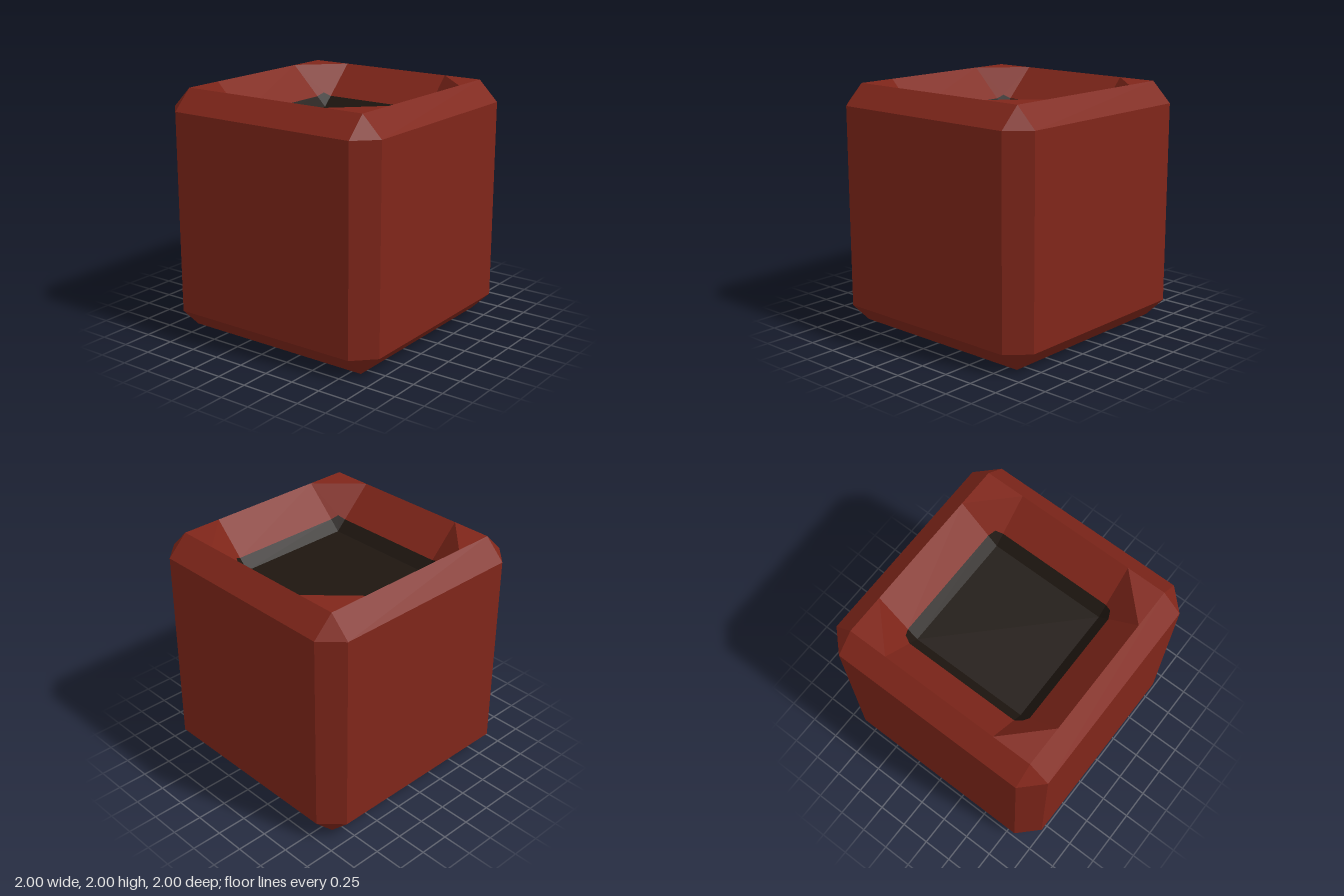
import * as THREE from 'three';

const E = 5 / 6;      // half-width of the flat faces
const B = 1 / 6;      // bevel size
const T = 2 - B;      // top of the side panels
const I = 0.5;        // half-width of the soil floor
const F = 5 / 3;      // height of the soil floor
const S = 0.583;      // soil edge on the inner slope
const SY = 1.75;
const M = 0.556;      // soil edge in the corner
const MY = 2 - (4 / 3 - 2 * M);

// Mesh of flat convex polygons, each split as a fan; repeated round the y axis
function facets(name, color, polygons, turns = 4) {
  const points = [];
  const up = new THREE.Vector3(0, 1, 0);
  for (let k = 0; k < turns; k++) {
    for (const polygon of polygons) {
      const v = polygon.map(p => new THREE.Vector3(...p).applyAxisAngle(up, k * Math.PI / 2));
      for (let i = 1; i < v.length - 1; i++) points.push(v[0], v[i], v[i + 1]);
    }
  }
  const geometry = new THREE.BufferGeometry().setFromPoints(points);
  geometry.computeVertexNormals();
  const material = new THREE.MeshStandardMaterial({ color, flatShading: true });
  const mesh = new THREE.Mesh(geometry, material);
  mesh.name = name;
  return mesh;
}

export function createModel() {
  const group = new THREE.Group();
  group.name = 'planter';
  const clay = 0x80261a;
  const earth = 0x1e1610;

  // Outer walls with bevelled edges and corners
  group.add(facets('walls', clay, [
    [[-E, B, 1], [E, B, 1], [E, T, 1], [-E, T, 1]],
    [[-E, T, 1], [E, T, 1], [E, 2, E], [-E, 2, E]],
    [[-E, 0, E], [E, 0, E], [E, B, 1], [-E, B, 1]],
    [[E, B, 1], [1, B, E], [1, T, E], [E, T, 1]],
    [[E, T, 1], [1, T, E], [E, 2, E]],
    [[E, 0, E], [1, B, E], [E, B, 1]],
  ]));

  // Flat underside
  group.add(facets('base', clay, [
    [[-E, 0, E], [-E, 0, -E], [E, 0, -E], [E, 0, E]],
  ], 1));

  // Flat rim corners and the slopes that lead down into the pot
  group.add(facets('innerRim', clay, [
    [[E, 2, E], [E, 2, I], [I, 2, E]],
    [[-I, 2, E], [I, 2, E], [I, SY, S], [-I, SY, S]],
    [[M, MY, M], [I, SY, S], [I, 2, E], [E, 2, I], [S, SY, I]],
  ]));

  // Soil: sloping border and flat floor
  group.add(facets('soilBorder', earth, [
    [[-I, SY, S], [I, SY, S], [I, F, I], [-I, F, I]],
    [[I, F, I], [I, SY, S], [M, MY, M], [S, SY, I]],
  ]));
  group.add(facets('soilFloor', earth, [
    [[-I, F, I], [I, F, I], [I, F, -I], [-I, F, -I]],
  ], 1));

  return group;
}
